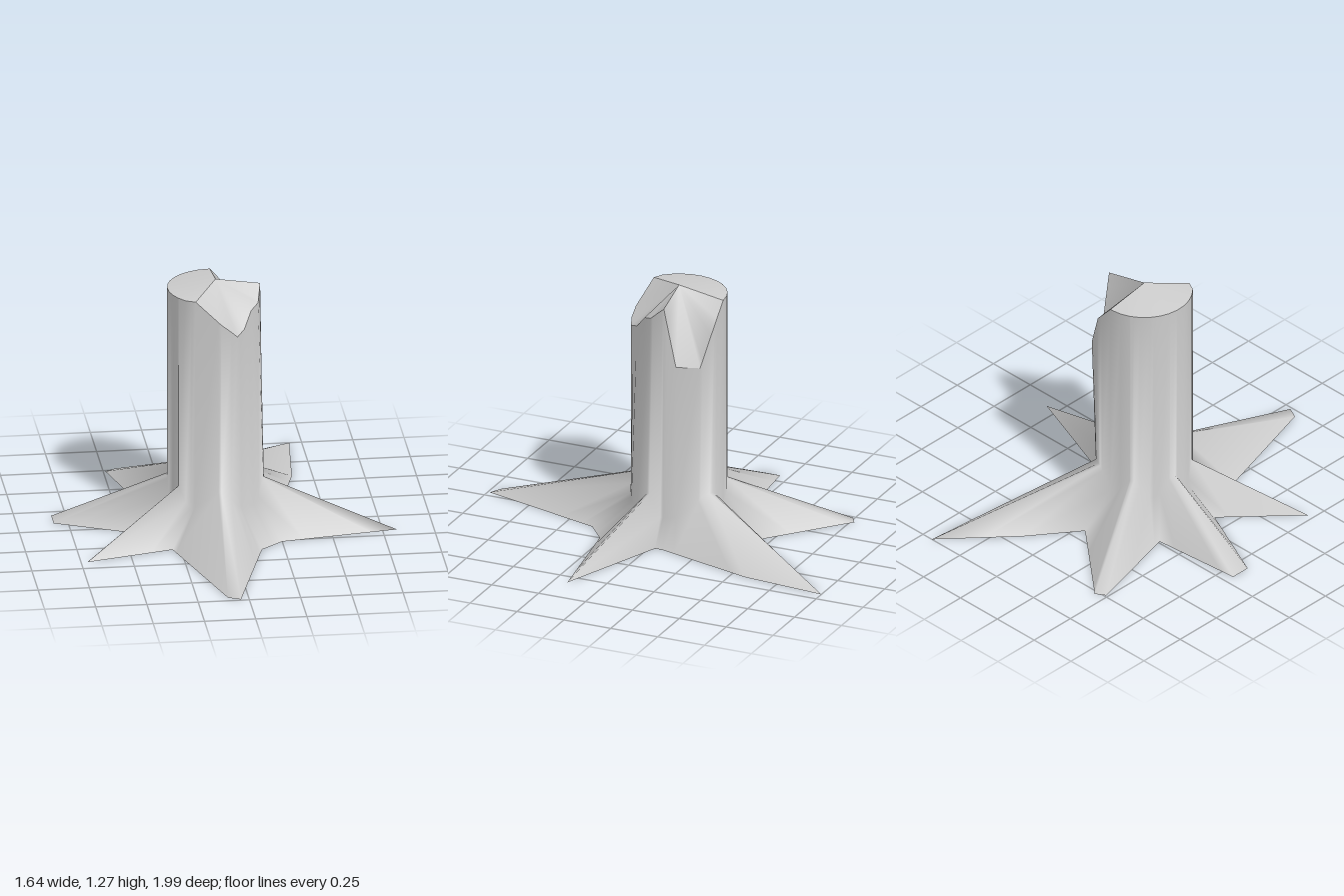
import * as THREE from 'three';

const CX = -0.04, CZ = -0.02; // trunk axis

// Star-shaped outline of the roots on the ground: x, z
const ROOTS = [
  [0.82, 0.18], [0.25, 0.27], [0.14, 0.36], [-0.04, 0.99], [-0.10, 0.96], [-0.29, 0.31],
  [-0.72, 0.42], [-0.41, 0.09], [-0.82, -0.10], [-0.82, -0.20], [-0.36, -0.24],
  [-0.49, -0.74], [-0.44, -0.77], [-0.04, -0.43], [0.14, -0.67], [0.44, -1.0],
  [0.40, -0.57], [0.26, -0.07], [0.26, -0.03],
].map(([x, z]) => new THREE.Vector3(x, 0, z));

// Splintered rim of the trunk: broken on the +x half, even on the other
const RIM = [
  [-0.16, 1.23, 0.17], [-0.04, 1.12, 0.21], [0.01, 1.08, 0.21], [0.04, 1.05, 0.20],
  [0.08, 1.07, 0.15], [0.12, 1.14, 0.09], [0.16, 1.16, 0.04], [0.18, 1.23, -0.04],
  [0.17, 0.93, -0.10], [0.13, 0.93, -0.21], [0.05, 1.13, -0.25], [-0.04, 1.23, -0.255],
].map((p) => new THREE.Vector3(...p));
const angleOf = (p) => Math.atan2(p.z - CZ, p.x - CX);
const [FRONT, SIDE, BACK] = [RIM[0], RIM[7], RIM[11]].map(angleOf);
for (let deg = 135; deg < 265; deg += 12) {
  const a = THREE.MathUtils.degToRad(deg);
  RIM.push(new THREE.Vector3(CX + 0.235 * Math.cos(a), 1.23, CZ + 0.235 * Math.sin(a)));
}

// Point of a closed outline that lies in direction a from the trunk axis
function sample(outline, a) {
  const pts = [...outline].sort((p, q) => angleOf(p) - angleOf(q));
  let i = pts.findIndex((p) => angleOf(p) > a + 1e-6);
  if (i < 0) i = 0;
  const q = pts[i], p = pts[(i + pts.length - 1) % pts.length];
  const off = (v) => (v.x - CX) * Math.sin(a) - (v.z - CZ) * Math.cos(a);
  const t = off(p) / (off(p) - off(q));
  return p.clone().lerp(q, t);
}

function mesh(name, points, index) {
  const g = new THREE.BufferGeometry().setFromPoints(points);
  g.setIndex(index);
  g.computeVertexNormals();
  const m = new THREE.Mesh(g, new THREE.MeshStandardMaterial({ color: 0xcccccc }));
  m.name = name;
  return m;
}

export function createModel() {
  const group = new THREE.Group();
  group.name = 'treeStump';

  const angles = [...ROOTS, ...RIM].map(angleOf).sort((a, b) => a - b)
    .filter((a, i, all) => i === 0 || a - all[i - 1] > 1e-3);
  const n = angles.length;

  // Cross-sections: root outline, foot of the trunk, broken rim
  const base = angles.map((a) => sample(ROOTS, a));
  const rim = angles.map((a) => sample(RIM, a));
  const foot = angles.map((a, i) => {
    const reach = Math.hypot(base[i].x - CX, base[i].z - CZ);
    const y = 0.14 + 0.11 * THREE.MathUtils.smoothstep(reach, 0.3, 0.8);
    return new THREE.Vector3(CX + 0.235 * Math.cos(a), y, CZ + 0.235 * Math.sin(a));
  });

  // Bark, smooth from the roots up to the rim
  const bark = [];
  for (let row = 0; row < 2; row++) {
    for (let i = 0; i < n; i++) {
      const a = row * n + i, b = row * n + (i + 1) % n;
      bark.push(a, a + n, b, b, a + n, b + n);
    }
  }
  group.add(mesh('trunkAndRoots', [...base, ...foot, ...rim], bark));

  // Broken top: three facets that meet at the peak
  const peak = new THREE.Vector3(CX, 1.27, CZ);
  const facetOf = (a) => (a >= FRONT - 1e-4 || a < BACK - 1e-4 ? 0 : a < SIDE - 1e-4 ? 1 : 2);
  ['topCut', 'backBreak', 'frontBreak'].forEach((name, facet) => {
    const pts = [peak, ...rim], index = [];
    angles.forEach((a, i) => {
      if (facetOf(a) === facet) index.push(0, 1 + (i + 1) % n, 1 + i);
    });
    group.add(mesh(name, pts, index));
  });

  // Flat underside
  const under = angles.flatMap((a, i) => [0, 1 + i, 1 + (i + 1) % n]);
  group.add(mesh('underside', [new THREE.Vector3(CX, 0, CZ), ...base], under));

  return group;
}
